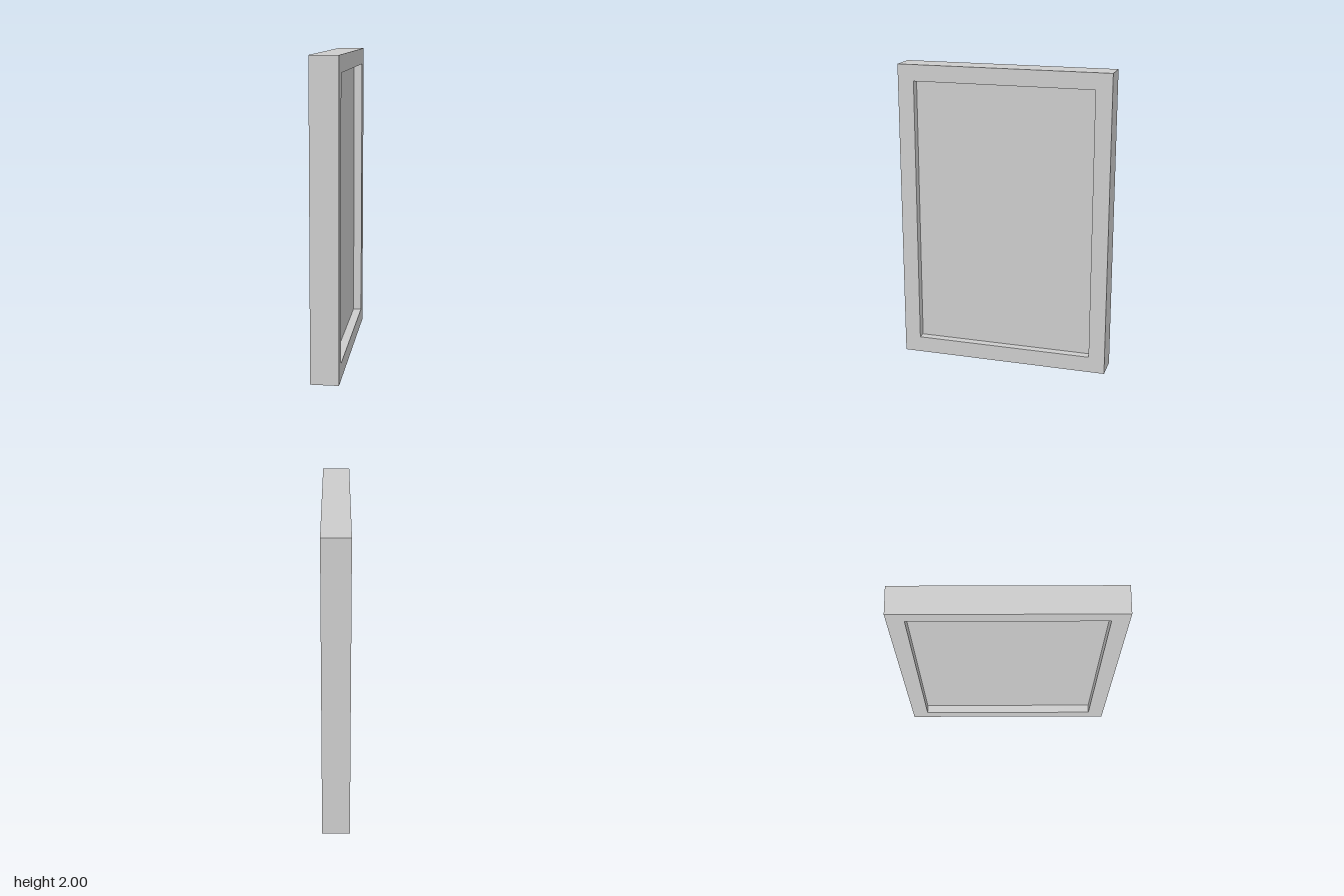
import * as THREE from 'three';

const HEIGHT = 2, WIDTH = 1.406, DEPTH = 0.178;
const BORDER = 0.107, RECESS = 0.055;

// Adds a closed rectangle, centred on x, to a shape or path
function rect(path, w, y0, y1) {
  path.moveTo(-w / 2, y0);
  path.lineTo(w / 2, y0);
  path.lineTo(w / 2, y1);
  path.lineTo(-w / 2, y1);
  path.closePath();
  return path;
}

export function createModel() {
  const group = new THREE.Group();
  group.name = 'framedPanel';
  const material = new THREE.MeshStandardMaterial({ color: 0xcccccc, flatShading: true });

  const openW = WIDTH - 2 * BORDER;
  const openH = HEIGHT - 2 * BORDER;

  // Rectangular frame with an open middle, turned to face along x
  const outline = rect(new THREE.Shape(), WIDTH, 0, HEIGHT);
  outline.holes.push(rect(new THREE.Path(), openW, BORDER, HEIGHT - BORDER));
  const frameGeometry = new THREE.ExtrudeGeometry(outline, { depth: DEPTH, bevelEnabled: false });
  frameGeometry.translate(0, 0, -DEPTH / 2).rotateY(Math.PI / 2);
  const frame = new THREE.Mesh(frameGeometry, material);
  frame.name = 'frame';

  // Inner panel, set back equally on both sides
  const panel = new THREE.Mesh(new THREE.BoxGeometry(DEPTH - 2 * RECESS, openH, openW), material);
  panel.name = 'panel';
  panel.position.y = HEIGHT / 2;

  group.add(frame, panel);
  return group;
}
